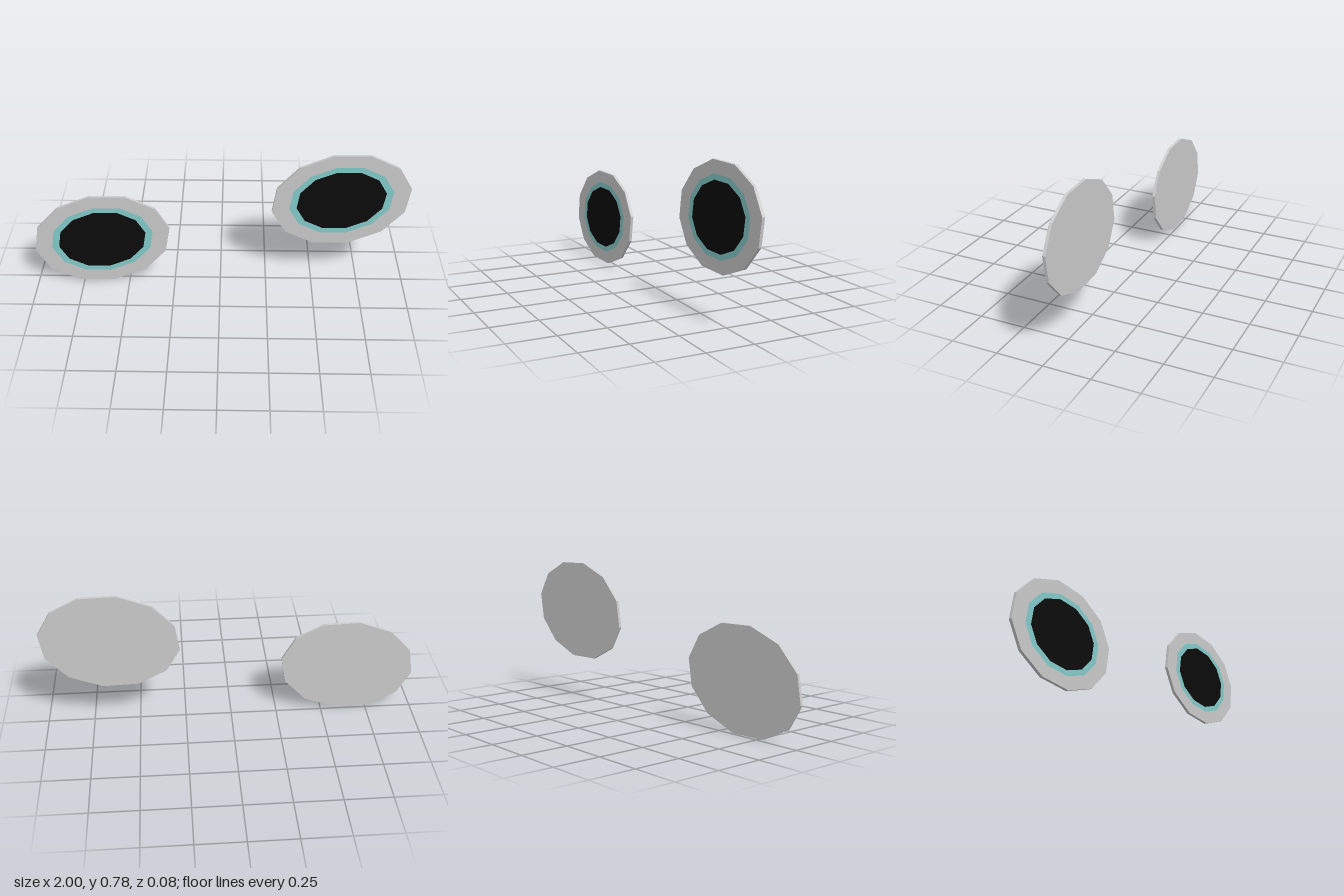
import * as THREE from 'three';

const SIDES = 12;
const RX = 0.37, RY = 0.276, THICK = 0.0155;

const material = (color) => new THREE.MeshStandardMaterial({ color, flatShading: true });

export function createModel() {
  const model = new THREE.Group();
  model.name = 'eyes';
  const white = material(0xcccccc), teal = material(0x85cccc), black = material(0x0b0b0b);

  // Low-poly oval plate facing +z
  const plate = new THREE.CylinderGeometry(1, 1, THICK, SIDES)
    .rotateX(Math.PI / 2).scale(RX, RY, 1);
  // Thin oval laid on the plate
  const disc = (ratio) => new THREE.CircleGeometry(1, SIDES).scale(RX * ratio, RY * ratio, 1);
  const irisShape = disc(0.75), pupilShape = disc(0.645);

  const add = (parent, name, geometry, mat, z) => {
    const mesh = new THREE.Mesh(geometry, mat);
    mesh.name = name;
    mesh.position.z = z;
    parent.add(mesh);
  };

  for (const [name, side] of [['leftEye', 1], ['rightEye', -1]]) {
    const eye = new THREE.Group();
    eye.name = name;
    eye.position.x = side * 0.647;
    add(eye, 'eyeWhite', plate, white, 0);
    add(eye, 'iris', irisShape, teal, THICK / 2 + 0.0006);
    add(eye, 'pupil', pupilShape, black, THICK / 2 + 0.0012);
    model.add(eye);
  }

  // The pair is tilted sideways and turned slightly
  model.rotation.set(0, 0.032, THREE.MathUtils.degToRad(10.6), 'YXZ');
  model.position.y = 0.391;

  const root = new THREE.Group();
  root.name = 'eyePair';
  root.add(model);
  return root;
}
